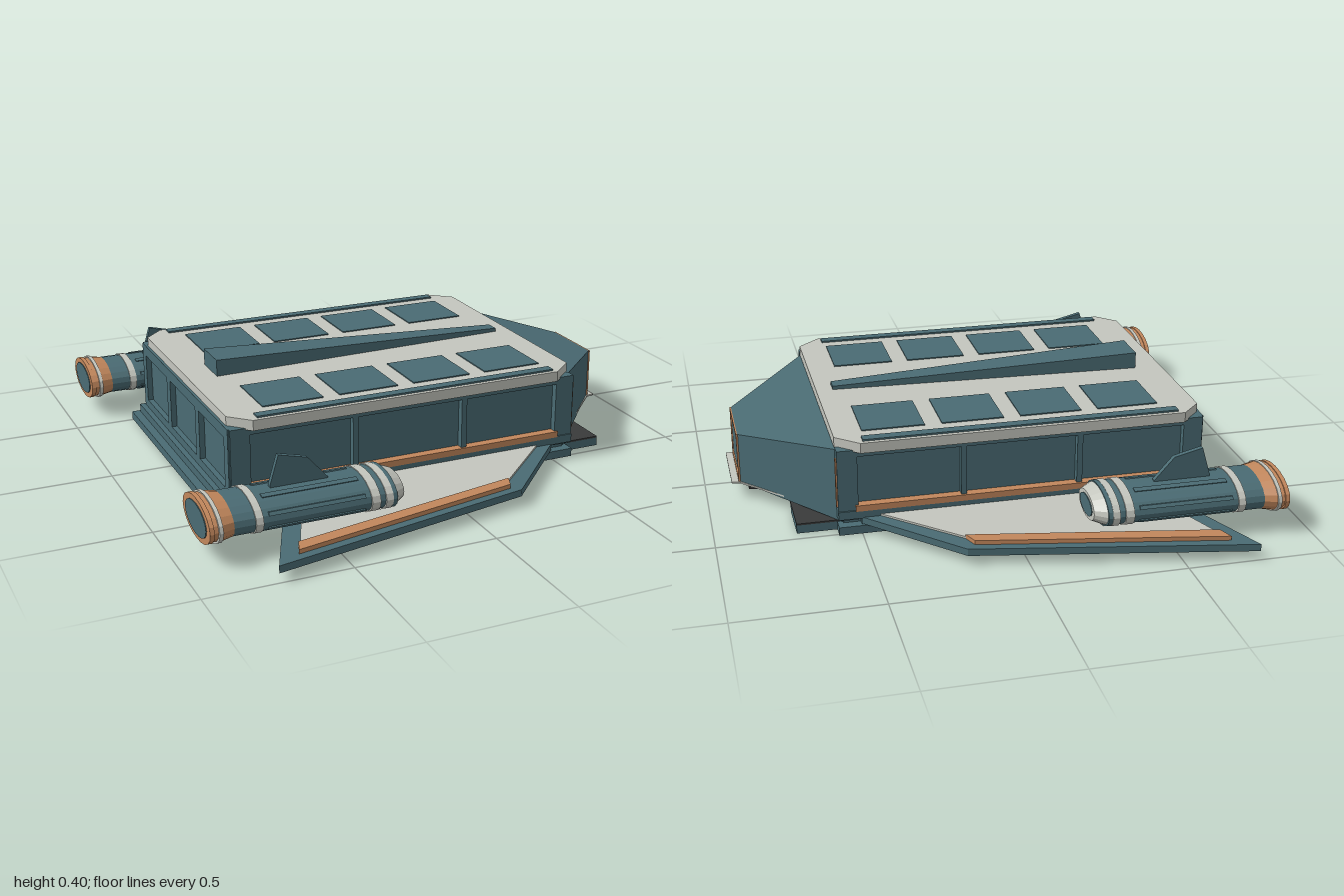
import * as THREE from 'three';

const mat = (name, color, side = THREE.FrontSide) => {
  const m = new THREE.MeshStandardMaterial({ color, side });
  m.name = name;
  return m;
};

export function createModel() {
  const teal = mat('teal', 0x4a6b73);
  const cream = mat('cream', 0xc4c6be);
  const orange = mat('orange', 0xc2875c);
  const charcoal = mat('charcoal', 0x3a3b3b);
  const root = new THREE.Group();
  root.name = 'shuttle';

  const add = (parent, name, geo, material) => {
    const mesh = new THREE.Mesh(geo, material);
    mesh.name = name;
    parent.add(mesh);
    return mesh;
  };
  // Box given by its limits on each axis
  const box = (parent, name, m, x0, x1, y0, y1, z0, z1) => {
    const g = new THREE.BoxGeometry(x1 - x0, y1 - y0, z1 - z0);
    g.translate((x0 + x1) / 2, (y0 + y1) / 2, (z0 + z1) / 2);
    return add(parent, name, g, m);
  };
  // Flat plate from an outline of [x, z] points
  const plate = (parent, name, m, pts, y0, y1) => {
    const shape = new THREE.Shape(pts.map(([x, z]) => new THREE.Vector2(x, -z)));
    const g = new THREE.ExtrudeGeometry(shape, { depth: y1 - y0, bevelEnabled: false });
    g.rotateX(-Math.PI / 2).translate(0, y0, 0);
    return add(parent, name, g, m);
  };
  // Box whose x ends differ: each end is [x, y0, y1, half width]
  const taper = (parent, name, m, a, b) => {
    const g = new THREE.BoxGeometry(1, 1, 1);
    const p = g.attributes.position;
    for (let i = 0; i < p.count; i++) {
      const [x, y0, y1, w] = p.getX(i) < 0 ? a : b;
      p.setXYZ(i, x, p.getY(i) < 0 ? y0 : y1, p.getZ(i) < 0 ? -w : w);
    }
    const flat = g.toNonIndexed();
    flat.computeVertexNormals();
    return add(parent, name, flat, m);
  };

  // Base slab, notched at the front, and the step above it
  plate(root, 'baseSlab', teal, [[-0.78, -0.51], [0.58, -0.51], [0.58, -0.46], [0.72, -0.46],
    [0.72, -0.29], [0.58, -0.29], [0.58, -0.12], [0.44, -0.12], [0.44, 0.12], [0.58, 0.12],
    [0.58, 0.29], [0.72, 0.29], [0.72, 0.46], [0.58, 0.46], [0.58, 0.51], [-0.78, 0.51]], 0, 0.03);
  box(root, 'baseStep', teal, -0.75, 0.5, 0.03, 0.06, -0.5, 0.5);
  plate(root, 'frontRamp', charcoal, [[0.42, -0.46], [0.72, -0.46], [0.72, -0.16], [0.85, -0.13],
    [0.85, 0.13], [0.72, 0.16], [0.72, 0.46], [0.42, 0.46]], 0.028, 0.036);

  // Hull with raised frames around its wall panels
  box(root, 'hull', teal, -0.71, 0.56, 0.03, 0.31, -0.475, 0.475);
  for (const s of [-1, 1]) {
    const side = (name, m, x0, x1, y0, y1, t) =>
      box(root, name, m, x0, x1, y0, y1, Math.min(s * 0.46, s * t), Math.max(s * 0.46, s * t));
    for (const x of [-0.69, -0.275, 0.14, 0.545]) {
      const w = Math.abs(x) > 0.5 ? 0.035 : 0.01;
      side('sideRib', teal, x - w, x + w, 0.05, 0.31, 0.5);
    }
    side('sideSill', teal, -0.72, 0.58, 0.055, 0.085, 0.505);
    side('sideHeader', teal, -0.72, 0.58, 0.285, 0.31, 0.5);
    side('sideStripe', orange, -0.65, 0.52, 0.083, 0.105, 0.508);
    box(root, 'cornerStripe', orange, 0.578, 0.585, 0.1, 0.28, s * 0.488 - 0.006, s * 0.488 + 0.006);
  }
  for (const z of [-0.47, -0.165, 0.165, 0.47])
    box(root, 'rearRib', teal, -0.73, -0.7, 0.05, 0.31, z - 0.02, z + 0.02);
  for (const y of [0.07, 0.29])
    box(root, 'rearRail', teal, -0.73, -0.7, y - 0.02, y + 0.02, -0.48, 0.48);

  // Roof with cut corners, inset panels, edge rails and a tapering spine
  plate(root, 'roof', cream, [[-0.72, -0.45], [-0.65, -0.52], [0.5, -0.52], [0.58, -0.45],
    [0.58, 0.45], [0.5, 0.52], [-0.65, 0.52], [-0.72, 0.45]], 0.305, 0.342);
  for (const s of [-1, 1]) {
    for (let i = 0; i < 4; i++) {
      const x = -0.58 + i * 0.28;
      box(root, 'roofPanel', teal, x, x + 0.22, 0.34, 0.346, s * 0.31 - 0.11, s * 0.31 + 0.11);
    }
    box(root, 'roofRail', teal, -0.63, 0.49, 0.34, 0.348, s * 0.487 - 0.018, s * 0.487 + 0.018);
  }
  taper(root, 'roofSpine', teal, [-0.62, 0.34, 0.402, 0.07], [0.52, 0.34, 0.355, 0.025]);

  // Wedge nose, framed front window and chin plate
  taper(root, 'nose', teal, [0.56, 0.035, 0.305, 0.48], [0.88, 0.06, 0.245, 0.128]);
  for (const s of [-1, 1])
    box(root, 'noseFrameSide', orange, 0.876, 0.885, 0.06, 0.245, s * 0.125 - 0.005, s * 0.125 + 0.005);
  for (const y of [0.066, 0.24])
    box(root, 'noseFrameBar', orange, 0.876, 0.885, y - 0.005, y + 0.005, -0.13, 0.13);
  plate(root, 'chinPlate', cream, [[0.58, -0.45], [0.88, -0.135], [0.91, -0.13],
    [0.91, 0.13], [0.88, 0.135], [0.58, 0.45]], 0.056, 0.062);

  // Engine pod: bands of [rear x, front x, rear radius, front radius, material]
  const bands = [
    [-0.915, -0.9, 0.138, 0.138, orange], [-0.9, -0.885, 0.132, 0.132, orange],
    [-0.885, -0.872, 0.142, 0.142, cream], [-0.872, -0.83, 0.136, 0.122, orange],
    [-0.83, -0.76, 0.122, 0.122, teal], [-0.76, -0.735, 0.128, 0.128, cream],
    [-0.735, -0.365, 0.122, 0.122, teal], [-0.365, -0.335, 0.128, 0.128, cream],
    [-0.335, -0.315, 0.122, 0.122, teal], [-0.315, -0.29, 0.128, 0.128, cream],
    [-0.29, -0.275, 0.126, 0.126, teal], [-0.275, -0.235, 0.118, 0.088, cream],
  ];
  const tube = (r0, r1, x0, x1) => {
    const g = new THREE.CylinderGeometry(r1, r0, x1 - x0, 20).toNonIndexed();
    g.computeVertexNormals();
    return g.rotateZ(-Math.PI / 2).translate((x0 + x1) / 2, 0, 0);
  };
  const makeEngine = () => {
    const engine = new THREE.Group();
    engine.name = 'engine';
    const pod = new THREE.Group();
    pod.name = 'enginePod';
    pod.scale.y = 0.51;
    engine.add(pod);
    for (const [x0, x1, r0, r1, m] of bands) add(pod, 'engineBand', tube(r0, r1, x0, x1), m);
    add(pod, 'exhaust', tube(0.105, 0.105, -0.918, -0.91), teal);
    add(pod, 'intake', tube(0.066, 0.066, -0.24, -0.232), teal);
    // Raised strakes along the barrel
    for (let i = 0; i < 8; i++) {
      const g = new THREE.BoxGeometry(0.33, 0.012, 0.022);
      g.translate(-0.55, 0.122, 0).rotateX((i + 0.5) * Math.PI / 4);
      add(pod, 'strake', g, teal);
    }
    const fin = new THREE.Shape([[-0.67, 0.05], [-0.67, 0.07], [-0.64, 0.17], [-0.54, 0.145],
      [-0.47, 0.065], [-0.47, 0.05]].map(([x, y]) => new THREE.Vector2(x, y)));
    const g = new THREE.ExtrudeGeometry(fin, { depth: 0.018, bevelEnabled: false });
    add(engine, 'engineFin', g.translate(0, 0, -0.009), teal);
    return engine;
  };

  // Wings, each with a cream deck, an orange strip and an engine
  for (const s of [-1, 1]) {
    const wing = new THREE.Group();
    wing.name = s > 0 ? 'frontWing' : 'rearWing';
    root.add(wing);
    const mirror = (pts) => pts.map(([x, z]) => [x, s * z]);
    plate(wing, 'wingPlate', teal, mirror([[-0.75, 1], [0.2, 0.81], [0.5, 0.5], [0.5, 0.46],
      [-0.52, 0.46]]), 0.033, 0.058);
    plate(wing, 'wingDeck', cream, mirror([[-0.64, 0.9], [0.18, 0.745], [0.44, 0.5], [0.44, 0.48],
      [-0.47, 0.48]]), 0.057, 0.065);
    plate(wing, 'wingStripe', orange, mirror([[-0.665, 0.95], [0.17, 0.785], [0.19, 0.735],
      [-0.645, 0.895]]), 0.057, 0.073);
    const engine = makeEngine();
    engine.position.set(0, 0.125, s * 0.71);
    wing.add(engine);
  }
  return root;
}
